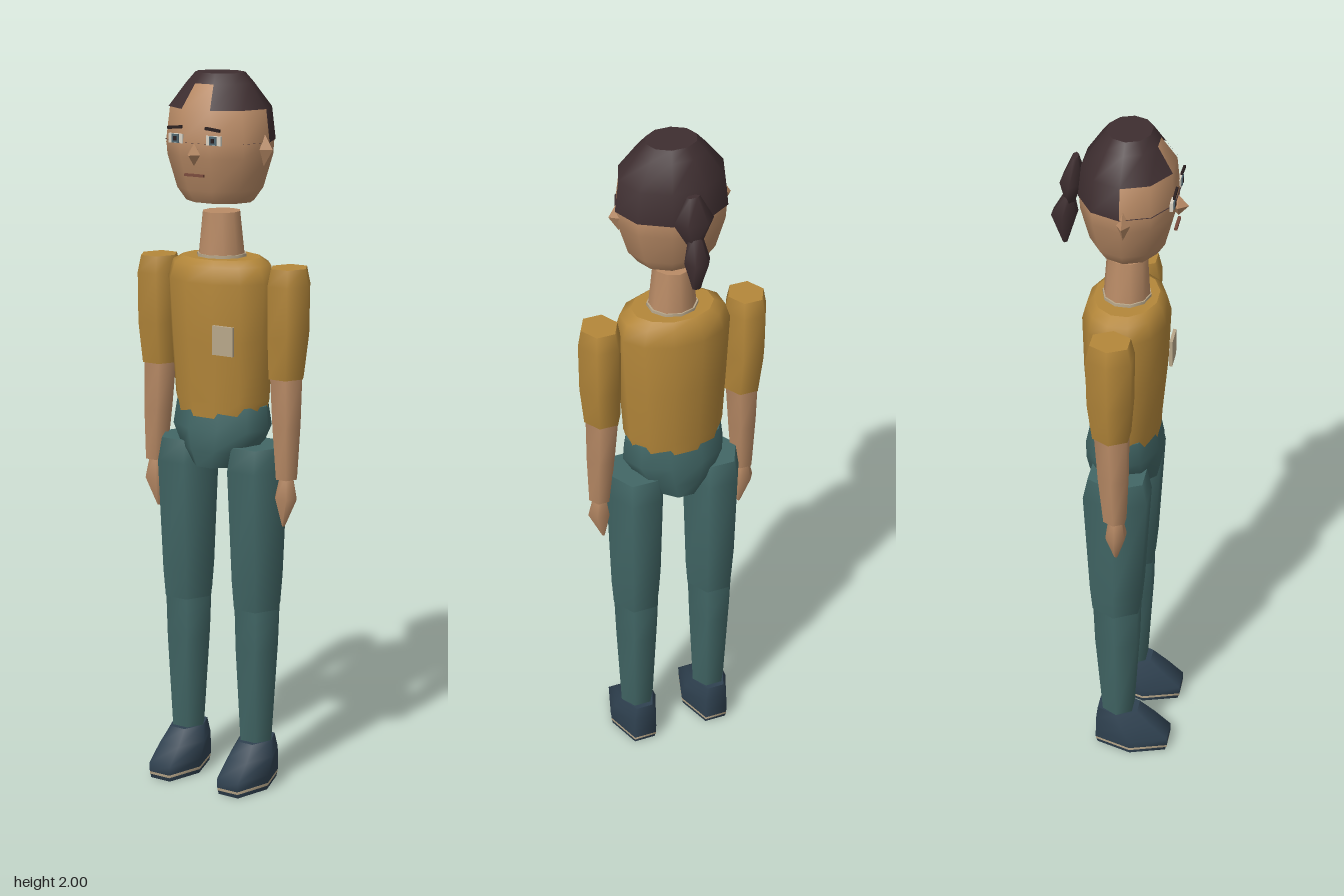
import * as THREE from 'three';

const mat = (name, color, side = THREE.FrontSide) => {
  const m = new THREE.MeshStandardMaterial({ color, side });
  m.name = name;
  return m;
};

// Loft of elliptical rings [y, rx, rz, cx, cz]; keep(col, row) can omit faces
function loft(rings, n, offset = 0, { keep = () => true, caps = true } = {}) {
  const pos = [], idx = [];
  const ring = ([y, rx, rz, cx = 0, cz = 0]) => {
    for (let k = 0; k < n; k++) {
      const a = offset + (k / n) * Math.PI * 2;
      pos.push(cx + rx * Math.sin(a), y, cz + rz * Math.cos(a));
    }
  };
  rings.forEach(ring);
  for (let r = 0; r < rings.length - 1; r++) {
    for (let k = 0; k < n; k++) {
      if (!keep(k, r)) continue;
      const a = r * n + k, b = r * n + (k + 1) % n;
      idx.push(a, b, b + n, a, b + n, a + n);
    }
  }
  if (caps) {
    // Caps have their own vertices so the rims stay sharp
    const low = pos.length / 3;
    ring(rings[0]);
    const high = pos.length / 3;
    ring(rings[rings.length - 1]);
    for (let k = 1; k < n - 1; k++) {
      idx.push(low, low + k + 1, low + k, high, high + k, high + k + 1);
    }
  }
  const g = new THREE.BufferGeometry();
  g.setAttribute('position', new THREE.Float32BufferAttribute(pos, 3));
  g.setIndex(idx);
  g.computeVertexNormals();
  return g;
}

export function createModel() {
  const skin = mat('skin', 0xb98b66);
  const shirt = mat('mustard shirt', 0xb4873a);
  const trousers = mat('teal trousers', 0x426766);
  const shoe = mat('navy shoe', 0x2f4150);
  const hair = mat('dark hair', 0x3e2e30, THREE.DoubleSide);
  const trim = mat('beige trim', 0xb8a78a);
  const white = mat('eye white', 0xd8d2c4);
  const iris = mat('iris', 0x4f6670);
  const dark = mat('dark line', 0x2a1f20);
  const lip = mat('lip', 0x7a4b3c);

  const model = new THREE.Group();
  model.name = 'standingFigure';
  const add = (name, geometry, material, x = 0, y = 0, z = 0) => {
    const m = new THREE.Mesh(geometry, material);
    m.name = name;
    m.position.set(x, y, z);
    model.add(m);
    return m;
  };
  const box = (w, h, d) => new THREE.BoxGeometry(w, h, d);
  const gem = (rx, ry, rz) => new THREE.OctahedronGeometry(1).scale(rx, ry, rz);
  const HEX = Math.PI / 6; // six sides with a flat front

  // Head: ten sides with a flat face panel
  const T = -Math.PI / 10;
  const headRing = ([y, s]) => [y, 0.153 * s, 0.131 * s, 0, 0.025];
  add('head', loft([[1.655, 0.63], [1.69, 0.8], [1.78, 0.98], [1.82, 1], [1.905, 0.93],
    [1.97, 0.6], [1.992, 0.44]].map(headRing), 10, T), skin);

  // Hair: a cap with a low back, and a notch over the forehead
  const isFront = (k) => k <= 2 || k >= 8;
  add('hairCap', loft([[1.82, 1.025], [1.908, 0.955], [1.973, 0.62], [2, 0.46]].map(headRing), 10, T, {
    keep: (k, r) => (r === 0 ? !isFront(k) : !(r === 1 && k === 0)),
  }), hair);
  add('ponytailTop', loft([[1.775, 0.02, 0.014, 0, -0.132], [1.84, 0.056, 0.034, 0, -0.125],
    [1.908, 0.02, 0.009, 0, -0.118]], 6, HEX), hair);
  add('ponytailEnd', loft([[1.65, 0.012, 0.007, 0, -0.147], [1.735, 0.036, 0.038, 0, -0.148],
    [1.8, 0.02, 0.012, 0, -0.135]], 6, HEX), hair);

  // Face
  add('nose', gem(0.02, 0.03, 0.027), skin, 0, 1.79, 0.153);
  add('mouth', box(0.06, 0.007, 0.008), lip, 0, 1.735, 0.151);

  // Neck and torso
  add('neck', loft([[1.49, 0.067, 0.064, 0, 0.018], [1.625, 0.052, 0.055, 0, 0.019]], 10), skin);
  add('collar', loft([[1.495, 0.071, 0.066, 0, 0.018], [1.51, 0.07, 0.066, 0, 0.018]], 10), trim);
  add('torso', loft([[1.065, 0.13, 0.098, 0, 0.015], [1.11, 0.142, 0.1, 0, 0.015],
    [1.28, 0.152, 0.113, 0, 0.017], [1.44, 0.161, 0.118, 0, 0.018],
    [1.485, 0.146, 0.106, 0, 0.018], [1.502, 0.115, 0.088, 0, 0.018]], 12, Math.PI / 12), shirt);
  add('chestPatch', box(0.065, 0.08, 0.009), trim, 0.078, 1.29, 0.131);
  add('pelvis', loft([[0.923, 0.075, 0.1, 0, 0.013], [0.97, 0.115, 0.108, 0, 0.014],
    [1.03, 0.15, 0.108, 0, 0.014], [1.095, 0.142, 0.094, 0, 0.014]], 10, T), trousers);

  for (const [side, s] of [['left', 1], ['right', -1]]) {
    // Eyes, brows and ears
    add(side + 'EyeWhite', box(0.046, 0.025, 0.008), white, s * 0.06, 1.83, 0.147);
    add(side + 'Iris', box(0.022, 0.023, 0.004), iris, s * 0.06, 1.83, 0.152);
    add(side + 'Pupil', box(0.01, 0.012, 0.004), dark, s * 0.06, 1.83, 0.154);
    add(side + 'Brow', box(0.046, 0.008, 0.006), dark, s * 0.06, 1.86, 0.154).rotation.z = -s * 0.1;
    add(side + 'Ear', gem(0.028, 0.045, 0.02), skin, s * 0.144, 1.802, 0.033);

    // Arm
    const a = s * 0.212;
    add(side + 'Sleeve', loft([[1.185, 0.053, 0.056, s * 0.207, 0.015],
      [1.3, 0.06, 0.068, a, 0.013], [1.44, 0.061, 0.07, a, 0.012],
      [1.487, 0.052, 0.058, a, 0.012]], 6, HEX), shirt);
    add(side + 'Forearm', loft([[0.905, 0.032, 0.034, s * 0.216, 0.025],
      [1.05, 0.042, 0.045, s * 0.212, 0.02], [1.195, 0.049, 0.051, s * 0.207, 0.015]], 6, HEX), skin);
    add(side + 'Hand', loft([[0.768, 0.004, 0.005, s * 0.208, 0.026],
      [0.85, 0.035, 0.031, s * 0.216, 0.028], [0.915, 0.019, 0.02, s * 0.216, 0.026]], 6, HEX), skin);

    // Leg
    const l = s * 0.115;
    add(side + 'Thigh', loft([[0.52, 0.07, 0.076, l, 0.013], [0.6, 0.076, 0.084, l, 0.013],
      [0.92, 0.086, 0.103, l, 0.013], [0.985, 0.076, 0.088, l, 0.013]], 6, HEX), trousers);
    add(side + 'Shin', loft([[0.115, 0.049, 0.049, l, 0.017], [0.4, 0.064, 0.07, l, 0.014],
      [0.53, 0.069, 0.074, l, 0.013]], 6, HEX), trousers);

    // Shoe: long six-sided rings drawn in towards the ankle
    add(side + 'Sole', loft([[0, 0.064, 0.118, l, 0.06], [0.012, 0.066, 0.121, l, 0.06]], 6, HEX), shoe);
    add(side + 'Welt', loft([[0.012, 0.067, 0.123, l, 0.06], [0.02, 0.067, 0.123, l, 0.06]], 6, HEX), trim);
    add(side + 'Shoe', loft([[0.02, 0.067, 0.124, l, 0.06], [0.045, 0.07, 0.123, l, 0.06],
      [0.09, 0.066, 0.095, l, 0.036], [0.13, 0.05, 0.068, l, 0.017]], 6, HEX), shoe);
  }
  return model;
}
